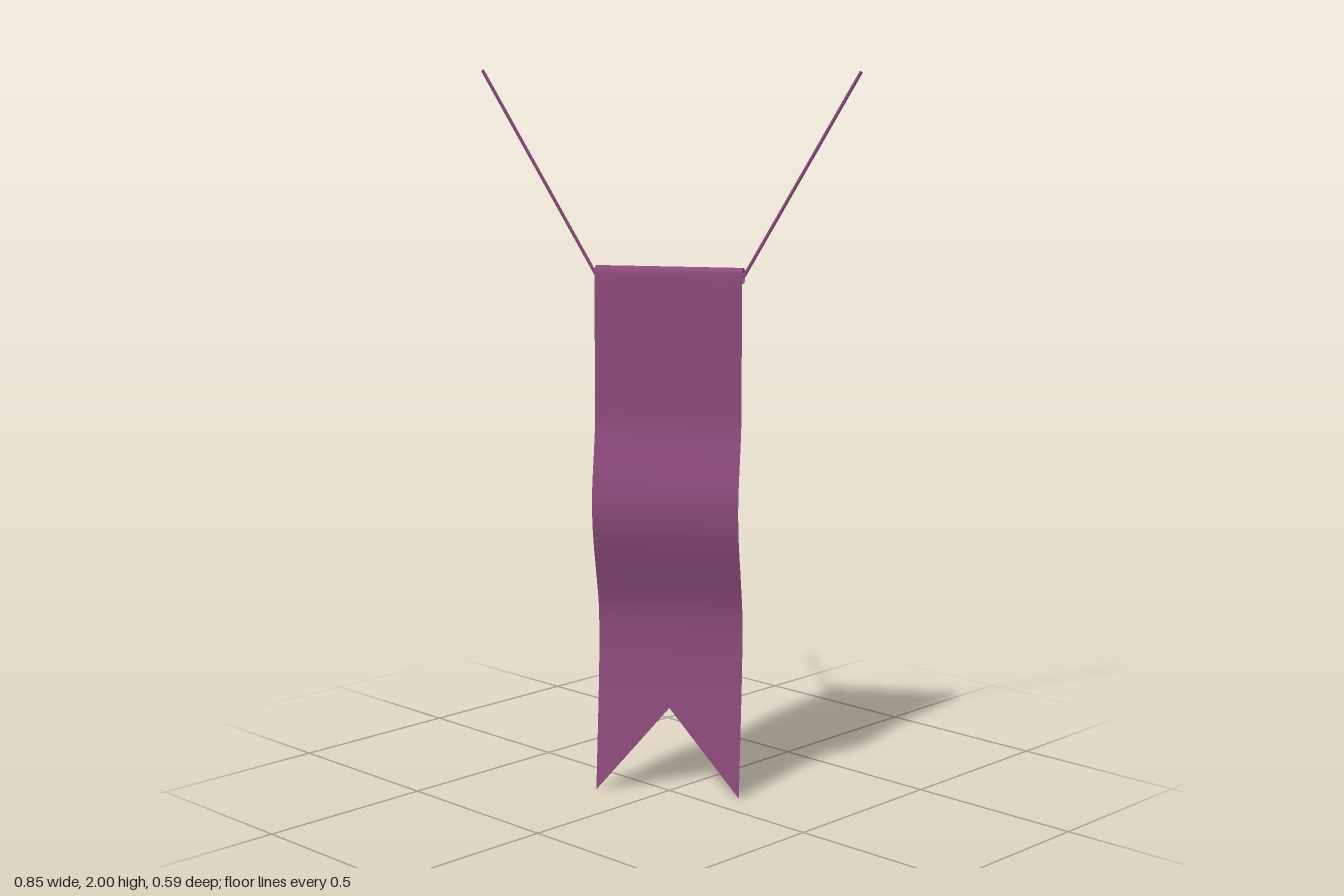
import * as THREE from 'three';

const cloth = new THREE.MeshStandardMaterial({ color: 0x8c4a7a, side: THREE.DoubleSide });
const HALF_WIDTH = 0.203;
const NOTCH_Y = 0.24;

// Side profile (z, y): curled hem, then the waving sheet down to the notch
const PROFILE = [
  [0.018, 1.436], [-0.01, 1.432], [-0.026, 1.442], [-0.028, 1.457], [-0.018, 1.47],
  [0, 1.476], [0.015, 1.471], [0.021, 1.455], [0.021, 1.25], [0.022, 1.05], [0.038, 0.97],
  [0.062, 0.87], [0.065, 0.81], [0.056, 0.74], [0.021, 0.63], [-0.01, 0.53],
  [-0.016, 0.43], [-0.011, 0.34], [0, NOTCH_Y],
];
const TIP = [0.032, 0];

// Sheet swept from the profile, with a swallowtail cut at the bottom
function bannerGeometry() {
  const curve = new THREE.CatmullRomCurve3(PROFILE.map(([z, y]) => new THREE.Vector3(0, y, z)));
  const rows = [];
  const steps = 4;
  for (let i = 0; i <= (PROFILE.length - 1) * steps; i++) {
    rows.push(curve.getPoint(i / ((PROFILE.length - 1) * steps)));
  }
  const columns = 12;
  const tailRows = 4;
  const geometry = new THREE.PlaneGeometry(2, 1, columns, rows.length - 1 + tailRows);
  const position = geometry.attributes.position;
  const last = rows[rows.length - 1];
  for (let i = 0; i < position.count; i++) {
    const row = Math.floor(i / (columns + 1));
    const s = position.getX(i);
    const p = rows[Math.min(row, rows.length - 1)];
    // Below the notch each column reaches further down towards the outer tips
    const drop = Math.max(0, row - rows.length + 1) / tailRows * Math.abs(s);
    position.setXYZ(
      i,
      s * HALF_WIDTH,
      p.y + (TIP[1] - last.y) * drop,
      p.z + (TIP[0] - last.z) * drop,
    );
  }
  geometry.computeVertexNormals();
  return geometry;
}

// Straight piece of cord between two points
function cord(name, from, to) {
  const path = new THREE.LineCurve3(new THREE.Vector3(...from), new THREE.Vector3(...to));
  const mesh = new THREE.Mesh(new THREE.TubeGeometry(path, 1, 0.0045, 8), cloth);
  mesh.name = name;
  return mesh;
}

export function createModel() {
  const model = new THREE.Group();
  model.name = 'hangingBanner';

  const banner = new THREE.Mesh(bannerGeometry(), cloth);
  banner.name = 'bannerCloth';
  banner.rotation.y = 0.58;
  model.add(banner);

  // Cord threaded through the hem and rising to both sides
  const rope = new THREE.Group();
  rope.name = 'hangingCord';
  rope.rotation.y = 0.604;
  rope.add(cord('hemCord', [-0.207, 1.455, 0], [0.207, 1.455, 0]));
  for (const side of [-1, 1]) {
    rope.add(cord(side > 0 ? 'leftCord' : 'rightCord', [side * 0.205, 1.455, 0], [side * 0.512, 1.998, 0]));
  }
  model.add(rope);
  return model;
}
